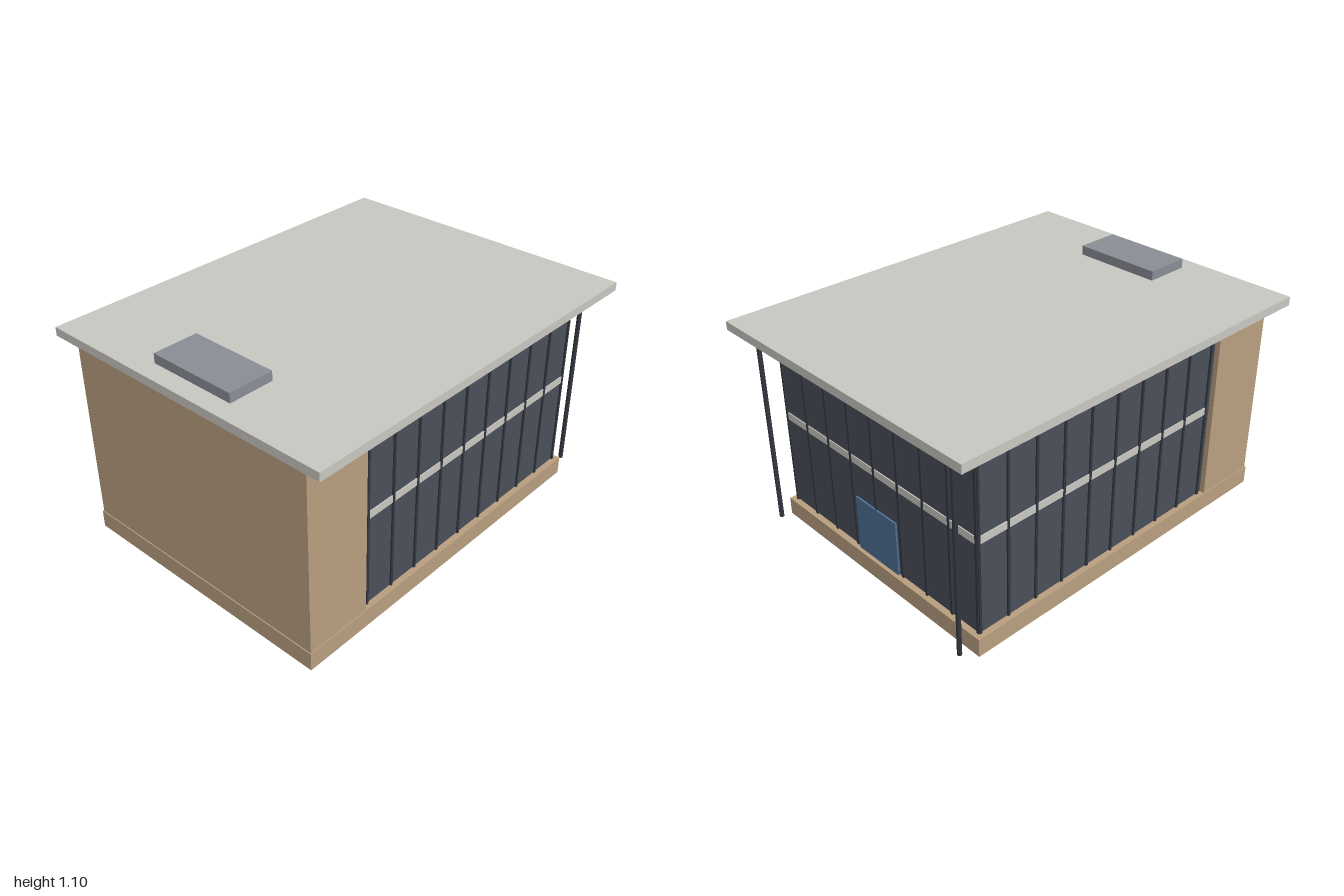
import * as THREE from 'three';

const material = (name, color) => {
  const m = new THREE.MeshStandardMaterial({ color });
  m.name = name;
  return m;
};

export function createModel() {
  const house = new THREE.Group();
  house.name = 'pavilion';

  const stone = material('tan stone', 0xb99f80);
  const concrete = material('pale concrete', 0xc9c8c2);
  const glass = material('dark glass', 0x4a4f59);
  const frame = material('dark metal', 0x33373f);
  const grey = material('grey metal', 0x8a8e95);
  const blue = material('blue door', 0x4f7096);

  // Box given by its low and high limits on each axis
  function box(name, mat, [x0, x1], [y0, y1], [z0, z1], parent = house) {
    const mesh = new THREE.Mesh(new THREE.BoxGeometry(x1 - x0, y1 - y0, z1 - z0), mat);
    mesh.position.set((x0 + x1) / 2, (y0 + y1) / 2, (z0 + z1) / 2);
    mesh.name = name;
    parent.add(mesh);
    return mesh;
  }

  const base = 0.09, eave = 1.015;
  const wallX = 0.655, backZ = -0.825;

  // Solid masses
  box('plinth', stone, [-0.685, 0.685], [0, base], [-0.855, 0.97]);
  box('frontBlock', stone, [-0.68, 0.68], [base, eave], [0.63, 0.965]);
  box('glassHall', glass, [-wallX, wallX], [base, eave], [backZ, 0.63]);
  box('roofSlab', concrete, [-0.78, 0.78], [eave, 1.057], [-1, 1]);
  box('roofUnit', grey, [-0.225, 0.225], [1.057, 1.103], [0.683, 0.908]);

  // Pale floor band around the glazing
  const bandY = [0.543, 0.58], bandOut = 0.005;
  box('backBand', concrete, [-wallX, wallX], bandY, [backZ - bandOut, backZ]);
  for (const s of [-1, 1]) {
    const x = [s * wallX, s * (wallX + bandOut)].sort((a, b) => a - b);
    box('sideBand', concrete, x, bandY, [backZ, 0.6]);
  }

  // Vertical mullions on both sides and the back
  const mullions = new THREE.Group();
  mullions.name = 'mullions';
  house.add(mullions);
  const half = 0.006, out = 0.008;
  for (const s of [-1, 1]) {
    for (let i = 0; i < 10; i++) {
      const z = 0.6 - i * 0.158;
      const x = [s * (wallX - out), s * (wallX + out)].sort((a, b) => a - b);
      box('sideMullion', frame, x, [base, eave], [z - half, z + half], mullions);
    }
  }
  for (let i = 0; i < 9; i++) {
    const x = -0.652 + i * 0.163;
    box('backMullion', frame, [x - half, x + half], [base, eave], [backZ - out, backZ + out], mullions);
  }

  // Back door, just proud of the mullions
  box('backDoor', blue, [-0.14, 0.14], [base, 0.37], [backZ - 0.012, backZ - 0.003]);

  // Posts carrying the rear overhang
  for (const x of [-0.65, 0.65]) {
    const post = new THREE.Mesh(new THREE.CylinderGeometry(0.011, 0.011, eave - 0.04, 12), frame);
    post.position.set(x, (eave + 0.04) / 2, -0.93);
    post.name = 'rearPost';
    house.add(post);
  }

  return house;
}
